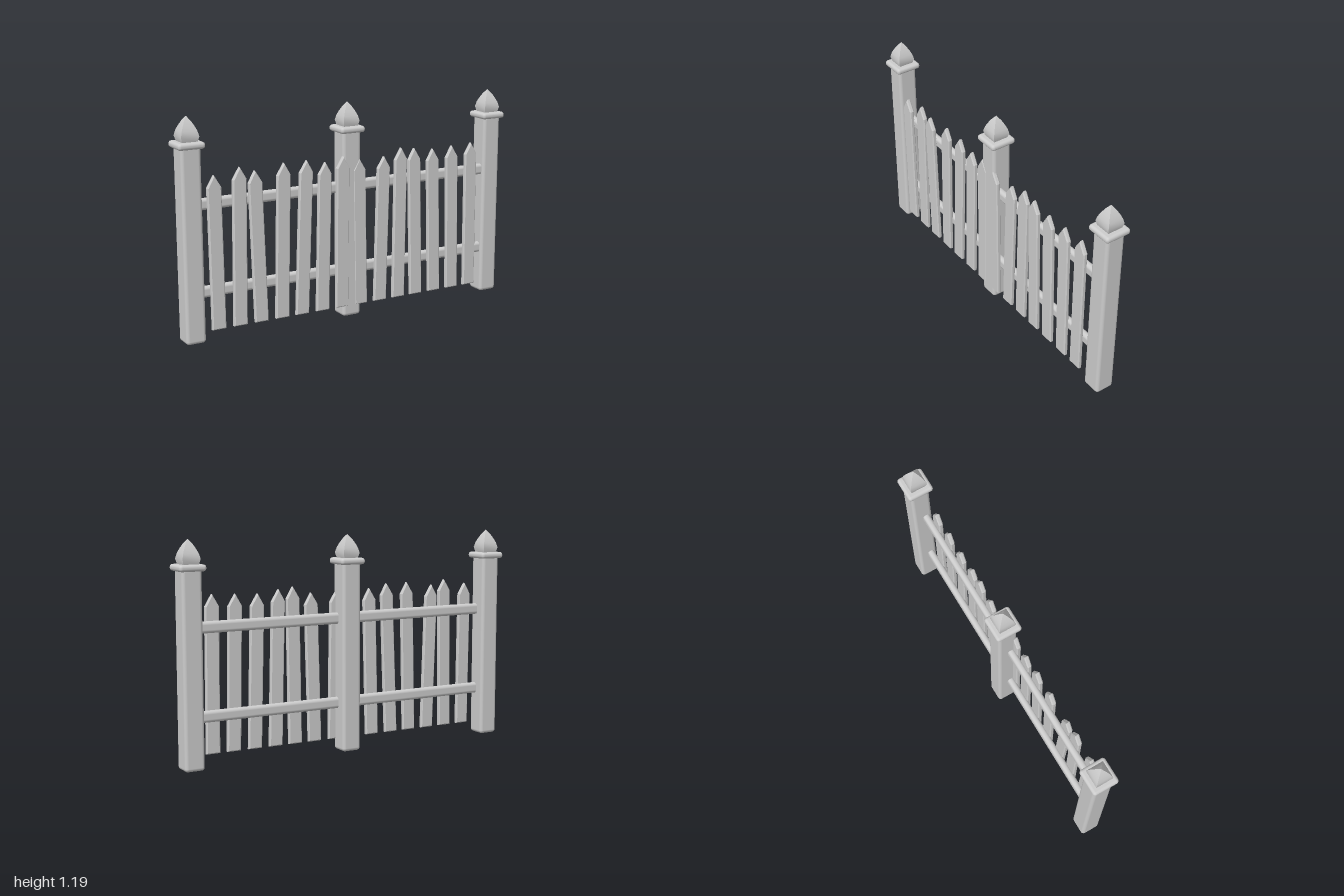
import * as THREE from 'three';
import { RoundedBoxGeometry } from 'three/addons/geometries/RoundedBoxGeometry.js';
import { toCreasedNormals } from 'three/addons/utils/BufferGeometryUtils.js';

const paint = new THREE.MeshStandardMaterial({ color: 0xcccccc });
paint.name = 'light grey paint';

function add(parent, name, geometry, x = 0, y = 0, z = 0) {
  const mesh = new THREE.Mesh(geometry, paint);
  mesh.name = name;
  mesh.position.set(x, y, z);
  parent.add(mesh);
  return mesh;
}

// Four-sided pointed cap with a swelling base; profile is [half width, height]
function finialGeometry() {
  const profile = [[0, 0], [0.041, 0], [0.049, 0.03], [0.042, 0.058], [0.032, 0.081], [0.018, 0.107], [0, 0.131]];
  const lathe = new THREE.LatheGeometry(profile.map(([r, y]) => new THREE.Vector2(r * Math.SQRT2, y)), 4);
  lathe.rotateY(Math.PI / 4);
  return toCreasedNormals(lathe, 0.6);
}

// Pointed board with chamfered front edges, leaning from its foot to its tip
function picketGeometry(lean, height) {
  const w = 0.033, shoulder = height - 0.065, bevel = 0.006;
  const at = (y) => lean * y / height;
  const shape = new THREE.Shape([
    new THREE.Vector2(-w, bevel),
    new THREE.Vector2(w, bevel),
    new THREE.Vector2(at(shoulder) + w, shoulder),
    new THREE.Vector2(lean, height - bevel * 1.2),
    new THREE.Vector2(at(shoulder) - w, shoulder),
  ]);
  return new THREE.ExtrudeGeometry(shape, {
    depth: 0.014, bevelEnabled: true, bevelSize: bevel, bevelThickness: 0.006, bevelSegments: 1,
  });
}

export function createModel() {
  const fence = new THREE.Group();
  fence.name = 'picketFence';

  // Posts with collar and finial
  const postShape = new RoundedBoxGeometry(0.11, 1.04, 0.11, 3, 0.018);
  const collarShape = new RoundedBoxGeometry(0.147, 0.035, 0.147, 4, 0.016);
  const finialShape = finialGeometry();
  for (const x of [-0.926, 0, 0.926]) {
    const post = new THREE.Group();
    post.name = 'post';
    post.position.x = x;
    add(post, 'postShaft', postShape, 0, 0.52);
    add(post, 'postCollar', collarShape, 0, 1.042);
    add(post, 'postFinial', finialShape, 0, 1.056);
    fence.add(post);
  }

  // Rounded horizontal rails between the posts
  const railShape = new RoundedBoxGeometry(0.9, 0.062, 0.038, 4, 0.018);
  for (const y of [0.266, 0.731]) {
    for (const side of [-1, 1]) add(fence, 'rail', railShape, side * 0.45, y, 0.018);
  }

  // Uneven pickets: [foot x, tip x, tip height]
  const pickets = [
    [-0.797, -0.807, 0.88], [-0.674, -0.663, 0.907], [-0.551, -0.577, 0.88], [-0.428, -0.409, 0.902],
    [-0.307, -0.275, 0.902], [-0.182, -0.163, 0.88], [-0.061, -0.053, 0.902], [0.058, 0.045, 0.88],
    [0.182, 0.203, 0.875], [0.302, 0.313, 0.912], [0.42, 0.398, 0.902], [0.543, 0.521, 0.886],
    [0.666, 0.65, 0.891], [0.786, 0.781, 0.896],
  ];
  for (const [foot, tip, top] of pickets) {
    add(fence, 'picket', picketGeometry(tip - foot, top - 0.06), foot, 0.06, 0.038);
  }
  return fence;
}
